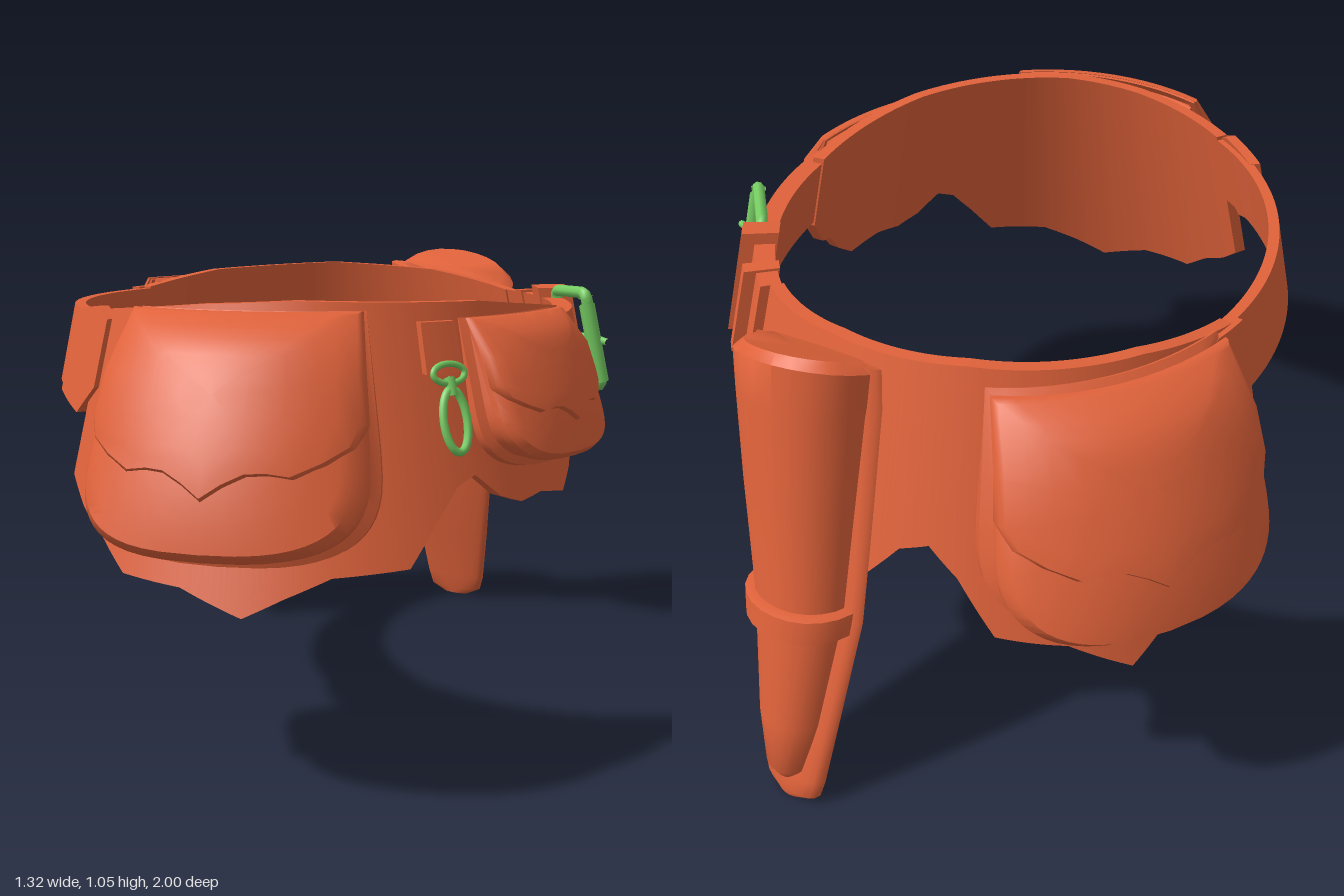
import * as THREE from 'three';
import { toCreasedNormals } from 'three/addons/utils/BufferGeometryUtils.js';

const leather = new THREE.MeshStandardMaterial({ color: 0xe0623a, side: THREE.DoubleSide });
const metal = new THREE.MeshStandardMaterial({ color: 0x76cc62 });
const V = (x, y, z) => new THREE.Vector3(x, y, z);
const rad = THREE.MathUtils.degToRad;

// Outward direction of the oval waist; 0 degrees is the front, 90 is +x
function outward(deg) {
  const a = rad(deg);
  return V(Math.sin(a) / 0.55, 0, Math.cos(a) / 0.68).normalize();
}

// Point on the waist oval, which flares out towards the bottom
function wrap(deg, y, d) {
  const a = rad(deg);
  const flare = (0.2 + 0.1 * Math.cos(a) ** 2) * (1 - y);
  return V(-0.045 + 0.55 * Math.sin(a), y, -0.02 + 0.68 * Math.cos(a))
    .addScaledVector(outward(deg), d + flare);
}

// Closed solid through rows of looped cross-sections, capped at both ends
function loft(rows, crease = 35) {
  const n = rows[0].length, pts = rows.flat(), idx = [];
  for (let r = 0; r < rows.length - 1; r++) {
    for (let i = 0; i < n; i++) {
      const a = r * n + i, b = r * n + (i + 1) % n;
      idx.push(a, b, a + n, b, b + n, a + n);
    }
  }
  [0, rows.length - 1].forEach((r, end) => {
    const c = pts.length;
    pts.push(rows[r].reduce((s, p) => s.add(p), V(0, 0, 0)).divideScalar(n));
    for (let i = 0; i < n; i++) {
      const a = r * n + i, b = r * n + (i + 1) % n;
      idx.push(...(end ? [a, b, c] : [b, a, c]));
    }
  });
  // Turn the faces outward if the volume comes out negative
  let vol = 0;
  for (let i = 0; i < idx.length; i += 3) {
    vol += pts[idx[i]].dot(V(0, 0, 0).crossVectors(pts[idx[i + 1]], pts[idx[i + 2]]));
  }
  if (vol < 0) idx.reverse();
  const g = new THREE.BufferGeometry().setFromPoints(pts);
  g.setIndex(idx);
  return toCreasedNormals(g, rad(crease));
}

// Linear lookup in a list of [key, value]
function lerpKeys(keys, t) {
  for (let i = 1; i < keys.length; i++) {
    const [a, va] = keys[i - 1], [b, vb] = keys[i];
    if (t <= b) return va + (vb - va) * Math.max(0, (t - a) / (b - a));
  }
  return keys[keys.length - 1][1];
}

// Strip of leather around the waist with a shaped top and bottom edge
function band(top, bottom, d0, d1) {
  const from = bottom[0][0], to = bottom[bottom.length - 1][0], rows = [];
  const steps = Math.ceil(to - from);
  for (let i = 0; i <= steps; i++) {
    const t = from + (to - from) * i / steps;
    const yt = lerpKeys(top, t), yb = lerpKeys(bottom, t);
    rows.push([wrap(t, yb, d0), wrap(t, yb, d1), wrap(t, yt, d1), wrap(t, yt, d0)]);
  }
  return loft(rows);
}

// Straight top edge shared by pouch bodies and flaps, from left to right
const topEdge = Array.from({ length: 13 }, (_, i) => [-0.96 + 0.16 * i, 1]);
const bodyOutline = [...topEdge];
for (let i = 0; i <= 28; i++) {
  const a = Math.PI * i / 28, c = Math.cos(a), s = Math.max(0, Math.sin(a));
  bodyOutline.push([Math.sign(c) * Math.abs(c) ** 0.65, -0.1 - 0.9 * s ** 0.65]);
}
const scallop = [[1, 0.5], [1, 0.1], [0.92, -0.08], [0.75, -0.2], [0.55, -0.31], [0.4, -0.28],
  [0.27, -0.29], [0.13, -0.38]];
const flapOutline = [...topEdge, ...scallop, [0, -0.5],
  ...scallop.slice().reverse().map(([u, v]) => [-u, v])];

// Pouch wrapped on the belt: gusseted body and scalloped flap
function pouch(name, deg, half, yTop, yBottom, depth) {
  const g = new THREE.Group(), n = outward(deg);
  const yc = (yTop + yBottom) / 2, hy = (yTop - yBottom) / 2;
  g.name = name;
  // Layers are [outline scale, depth, bulge]; the depth grows downwards
  const solid = (outline, vc, layers) => loft(layers.map(([s, a, k]) => outline.map(([u0, v0]) => {
    const u = u0 * s, v = vc + (v0 - vc) * s;
    const shoulder = 0.35 * Math.max(0, (v - 0.65) / 0.35) ** 2;
    const d = a * (1 - 0.2 * v - shoulder) + k * 0.2 * depth * Math.max(0, (1 - u * u) * (1 - v * v));
    const p = wrap(deg + u * half, yc + v * hy, 0.025).addScaledVector(n, d);
    p.y += 0.22 * d * (1 - v) / 2 + 0.05 * d;
    return p;
  })), 40);
  const D = depth;
  const fill = [0.85, 0.7, 0.5, 0.25, 0.02];
  const body = solid(bodyOutline, 0, [...fill.slice().reverse().map(s => [s, 0, 0]),
    [1, 0, 0], [1.02, 0.25 * D, 0], [0.93, 0.33 * D, 0], [0.92, 0.6 * D, 0], [1, 0.66 * D, 0],
    [1.01, 0.85 * D, 1], [0.95, D, 1], ...fill.map(s => [s, D, 1])]);
  const flap = solid(flapOutline, 0.35, [...fill.slice().reverse().map(s => [s, 0.8 * D, 1]),
    [1.03, 0.8 * D, 1], [1.03, D, 1], [1, D + 0.01, 1], ...fill.map(s => [s, D + 0.011, 1])]);
  add(g, 'pouchBody', body);
  add(g, 'pouchFlap', flap);
  return g;
}

function add(group, name, geometry, material = leather) {
  const m = new THREE.Mesh(geometry, material);
  m.name = name;
  group.add(m);
}

// Rod or wire along points
function wire(points, r, closed, tension = 0.5) {
  const c = new THREE.CatmullRomCurve3(points, closed, 'catmullrom', tension);
  return new THREE.TubeGeometry(c, closed ? 64 : 8, r, 8, closed);
}

// Sheath part: D-shaped sections [y, x, z, half width, depth, tilt]
const T = V(0.82, 0, 0.58), N = V(0.58, 0, -0.82);
function sheathPart(stations, back) {
  return loft(stations.map(([y, x, z, hw, dep, tilt]) => Array.from({ length: 24 }, (_, i) => {
    const a = i / 24 * Math.PI * 2, s = Math.sin(a);
    const t = hw * Math.cos(a), d = s > 0 ? dep * s ** 0.8 : back * s;
    const p = V(x, y + tilt * (d * 0.4 - t * 0.22), z);
    return p.addScaledVector(T, t).addScaledVector(N, d);
  })), 45);
}

export function createModel() {
  const model = new THREE.Group();
  model.name = 'utilityBelt';

  // Scalloped panels, front and back
  add(model, 'frontPanel', band([[-47, 0.975], [-20, 1.0], [0, 1.01], [40, 1.0], [73, 0.965]],
    [[-47, 0.62], [-41, 0.56], [-34, 0.51], [-28, 0.45], [-17, 0.44], [-7, 0.39], [-1, 0.43],
      [6, 0.47], [18, 0.48], [23, 0.56], [28, 0.63], [32, 0.65], [37, 0.6], [42, 0.58],
      [48, 0.59], [56, 0.575], [61, 0.62], [65, 0.68], [68, 0.69], [73, 0.77]], 0, 0.03));
  add(model, 'backPanel', band([[123, 0.96], [150, 1.0], [180, 1.015], [215, 1.0], [238, 0.965]],
    [[123, 0.77], [126, 0.69], [130, 0.61], [135, 0.56], [142, 0.54], [150, 0.55], [158, 0.54],
      [165, 0.55], [170, 0.62], [175, 0.64], [180, 0.58], [186, 0.46], [197, 0.43], [207, 0.35],
      [214, 0.42], [223, 0.42], [230, 0.47], [236, 0.53], [238, 0.78]], 0, 0.03));

  // Side straps, their stitched ends and the two keeper loops
  add(model, 'rightStrap', band([[234, 0.96], [314, 0.965]], [[234, 0.79], [314, 0.785]], 0, 0.025));
  add(model, 'rightStrapBackEnd', band([[228, 0.93], [232, 0.965], [240, 0.965]],
    [[228, 0.83], [232, 0.78], [240, 0.785]], 0.02, 0.042));
  add(model, 'rightStrapFrontEnd', band([[300, 0.965], [311, 0.98], [316, 0.955]],
    [[300, 0.785], [311, 0.75], [316, 0.81]], 0.015, 0.042));
  add(model, 'leftStrap', band([[62, 0.88], [68, 0.95], [123, 0.96]],
    [[62, 0.86], [68, 0.78], [123, 0.77]], 0.005, 0.052));
  add(model, 'wideKeeper', band([[102.5, 0.98], [107.5, 0.985]], [[102.5, 0.735], [107.5, 0.735]], 0, 0.085));
  add(model, 'narrowKeeper', band([[115, 0.965], [118, 0.965]], [[115, 0.765], [118, 0.765]], 0, 0.08));

  // Pouches
  model.add(pouch('largeFrontPouch', -10, 25, 0.985, 0.49, 0.145));
  model.add(pouch('smallFrontPouch', 50, 17, 0.965, 0.65, 0.085));
  model.add(pouch('backPouch', 208, 25.5, 0.975, 0.49, 0.14));

  // Buckle frame, standing off the strap
  const corners = [V(0.54, 0.975, -0.17), V(0.6, 0.98, 0), V(0.645, 0.755, 0), V(0.585, 0.76, -0.17)];
  const frame = corners.flatMap((c, i) => [corners[(i + 3) % 4], corners[(i + 1) % 4]]
    .map(o => c.clone().addScaledVector(o.clone().sub(c).normalize(), 0.015)));
  add(model, 'buckleFrame', wire(frame, 0.014, true, 0.1), metal);
  add(model, 'buckleBar', wire([V(0.6, 0.97, 0), V(0.643, 0.765, 0)], 0.019, false), metal);
  add(model, 'bucklePin', wire([V(0.575, 0.87, -0.09), V(0.62, 0.87, -0.03), V(0.655, 0.862, 0.012)], 0.009, false), metal);

  // Hanging tab with ring and clip
  const hook = new THREE.Group();
  hook.name = 'hangingClip';
  add(hook, 'tab', band([[24, 0.965], [31.5, 0.965]], [[24, 0.86], [31.5, 0.86]], 0.025, 0.05));
  const loop = (y, h, w, d) => Array.from({ length: 12 }, (_, i) => {
    const a = i / 12 * Math.PI * 2;
    return wrap(28.5 + w * Math.cos(a), y + h * Math.sin(a), d);
  });
  add(hook, 'ring', wire(loop(0.86, 0.02, 3.3, 0.05), 0.007, true), metal);
  add(hook, 'swivel', wire([wrap(28.5, 0.855, 0.05), wrap(28.5, 0.815, 0.05)], 0.012, false), metal);
  add(hook, 'clip', wire(loop(0.765, 0.063, 2.4, 0.05), 0.009, true), metal);
  model.add(hook);

  // Sheath: backing, body and retaining strap
  const sheath = new THREE.Group();
  sheath.name = 'sheath';
  add(sheath, 'sheathBacking', sheathPart([[0.97, 0.28, -0.65, 0.2, 0.03, 1], [0.9, 0.28, -0.66, 0.2, 0.03, 0.6],
    [0.7, 0.28, -0.715, 0.178, 0.03, 0], [0.45, 0.28, -0.79, 0.155, 0.03, 0], [0.2, 0.3, -0.875, 0.118, 0.035, 0],
    [0.06, 0.31, -0.92, 0.095, 0.04, 0], [0.02, 0.312, -0.932, 0.082, 0.04, 0], [0.0, 0.314, -0.94, 0.04, 0.03, 0]], 0.015));
  add(sheath, 'sheathBody', sheathPart([[0.985, 0.28, -0.66, 0.15, 0.13, 1], [0.96, 0.28, -0.66, 0.178, 0.15, 1],
    [0.88, 0.28, -0.67, 0.168, 0.155, 0.6], [0.7, 0.28, -0.715, 0.145, 0.15, 0], [0.45, 0.28, -0.79, 0.118, 0.125, 0],
    [0.2, 0.3, -0.875, 0.085, 0.095, 0], [0.08, 0.31, -0.915, 0.058, 0.07, 0], [0.05, 0.312, -0.925, 0.03, 0.045, 0]], 0.01));
  add(sheath, 'sheathStrap', sheathPart([[0.465, 0.28, -0.785, 0.125, 0.13, 0.3], [0.46, 0.28, -0.787, 0.14, 0.145, 0.3],
    [0.41, 0.283, -0.803, 0.135, 0.14, 0.3], [0.405, 0.283, -0.805, 0.12, 0.125, 0.3]], 0.005));
  model.add(sheath);

  return model;
}
